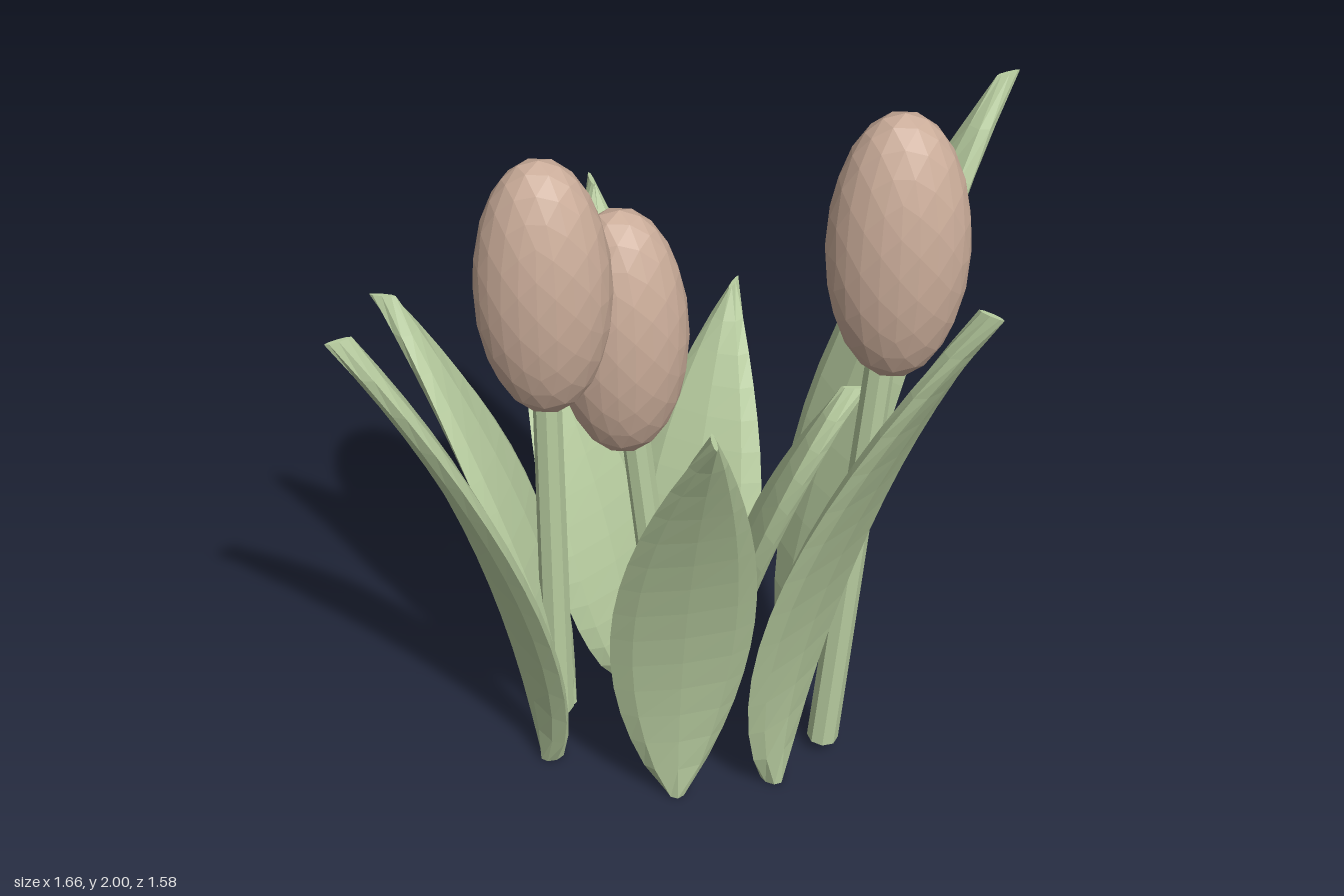
import * as THREE from 'three';

const leafGreen = new THREE.MeshStandardMaterial({ color: 0xb7cc9f, flatShading: true });
leafGreen.name = 'leaf green';
const petalPink = new THREE.MeshStandardMaterial({ color: 0xcbad9a, flatShading: true });
petalPink.name = 'dusty pink';

// Blade leaf: an 8-sided tube flattened into a lens, swelling in the middle and arching outward.
function makeLeaf([bx, bz, tx, tz, height]) {
  const depth = 0.035;
  const reach = Math.hypot(tx - bx, tz - bz) - 2 * depth;
  const geo = new THREE.CylinderGeometry(1, 1, 1, 8, 14);
  const p = geo.attributes.position;
  for (let i = 0; i < p.count; i++) {
    const t = p.getY(i) + 0.5;
    const swell = Math.max(0, Math.sin(Math.PI * Math.pow(t, 0.85)));
    const width = 0.02 * (1 - t) + 0.006 + 0.17 * Math.pow(swell, 0.9);
    p.setXYZ(i, p.getX(i) * width, t * height,
      depth + p.getZ(i) * depth + reach * Math.pow(t, 1.8));
  }
  geo.computeVertexNormals();
  const leaf = new THREE.Mesh(geo, leafGreen);
  leaf.name = 'leaf';
  leaf.position.set(bx, 0, bz);
  leaf.rotation.y = Math.atan2(tx - bx, tz - bz);
  return leaf;
}

// Flower: egg-shaped faceted bloom on a slightly leaning stem.
function makeFlower([x, y, z, baseX]) {
  const flower = new THREE.Group();
  flower.name = 'flower';

  const bloom = new THREE.Mesh(new THREE.IcosahedronGeometry(1, 3), petalPink);
  bloom.name = 'bloom';
  bloom.scale.set(0.177, 0.368, 0.15);
  bloom.position.set(x, y, z);

  const foot = new THREE.Vector3(baseX, 0.04, z);
  const top = new THREE.Vector3(x, y, z);
  const axis = top.clone().sub(foot);
  const stem = new THREE.Mesh(
    new THREE.CylinderGeometry(0.036, 0.043, axis.length(), 8), leafGreen);
  stem.name = 'stem';
  stem.position.copy(foot).add(top).multiplyScalar(0.5);
  stem.quaternion.setFromUnitVectors(new THREE.Vector3(0, 1, 0), axis.normalize());

  flower.add(bloom, stem);
  return flower;
}

export function createModel() {
  const model = new THREE.Group();
  model.name = 'flowerClump';

  // base x, base z, tip x, tip z, height
  const leaves = [
    [0.25, -0.28, 0.83, -0.61, 1.77],
    [0.21, 0.16, 0.73, 0.57, 1.77],
    [-0.03, 0.21, 0.10, 0.79, 1.55],
    [-0.34, 0.10, -0.835, 0.41, 1.55],
    [-0.32, -0.10, -0.825, -0.15, 1.33],
    [-0.16, -0.30, -0.31, -0.79, 1.33],
    [-0.17, -0.21, -0.50, -0.48, 1.12],
    [-0.03, -0.21, 0.11, -0.61, 1.12],
    [0.03, -0.09, 0.46, -0.09, 1.12],
  ];
  leaves.forEach((l) => model.add(makeLeaf(l)));

  // bloom centre x, y, z, stem foot x
  const flowers = [
    [0.51, 1.632, 0.05, 0.375],
    [-0.365, 1.43, -0.04, -0.365],
    [-0.18, 1.22, -0.165, -0.06],
  ];
  flowers.forEach((f) => model.add(makeFlower(f)));

  return model;
}
